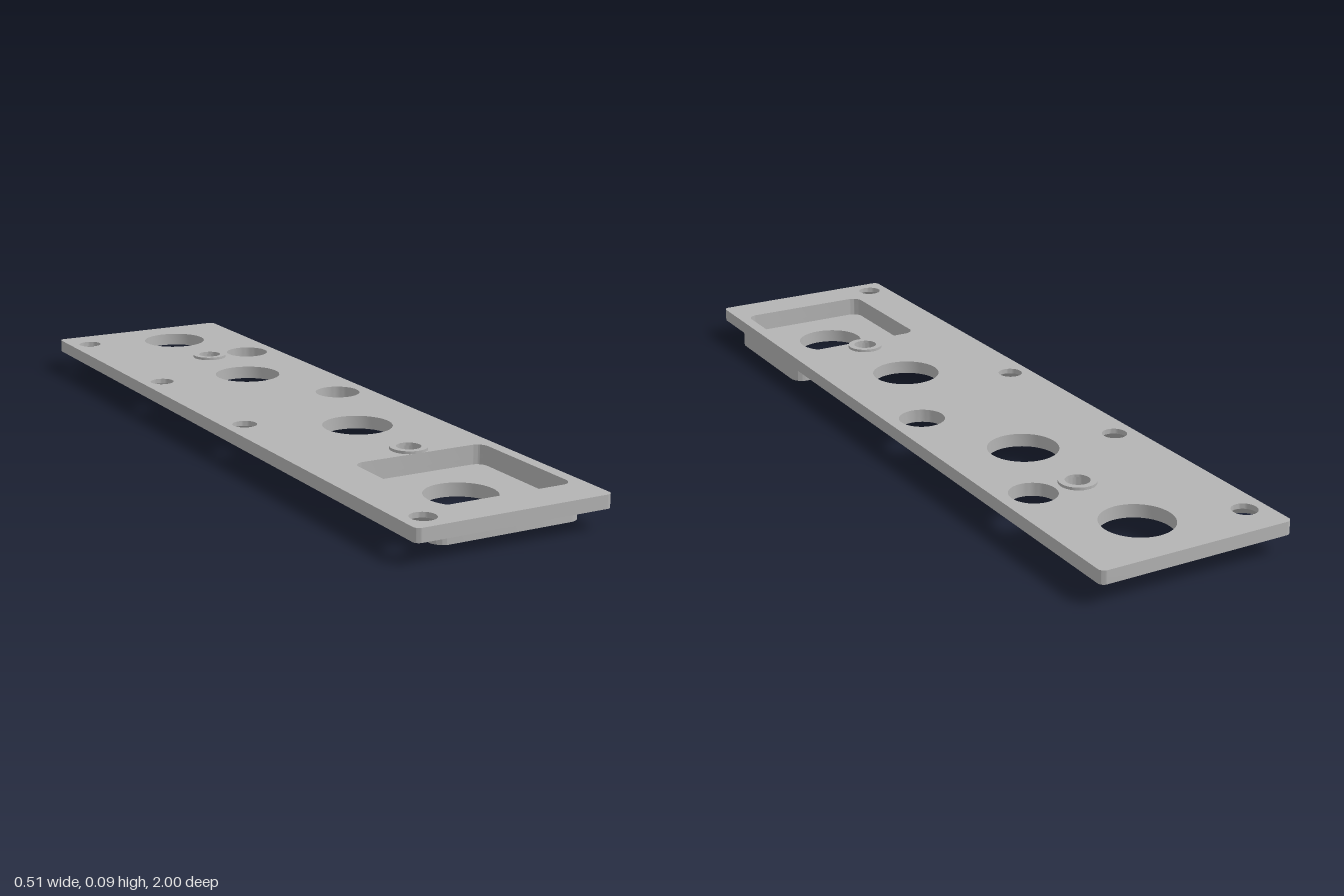
import * as THREE from 'three';
import { toCreasedNormals } from 'three/addons/utils/BufferGeometryUtils.js';

const BLOCK_BOTTOM = 0, FLOOR = 0.034, PLATE_BOTTOM = 0.05, PLATE_TOP = 0.083, BOSS_TOP = 0.09;
const LINE_X = 0.045;

// Plan outlines are drawn with shape y = -z
function roundedRect(path, x0, x1, z0, z1, r) {
  const y0 = -z1, y1 = -z0;
  path.moveTo(x0 + r, y0);
  path.lineTo(x1 - r, y0);
  path.absarc(x1 - r, y0 + r, r, -Math.PI / 2, 0);
  path.lineTo(x1, y1 - r);
  path.absarc(x1 - r, y1 - r, r, 0, Math.PI / 2);
  path.lineTo(x0 + r, y1);
  path.absarc(x0 + r, y1 - r, r, Math.PI / 2, Math.PI);
  path.lineTo(x0, y0 + r);
  path.absarc(x0 + r, y0 + r, r, Math.PI, Math.PI * 1.5);
  return path;
}

function circle(x, z, r) {
  return new THREE.Path().absarc(x, -z, r, 0, Math.PI * 2, true);
}

function slab(shape, holes, bottom, top) {
  shape.holes.push(...holes);
  const geo = new THREE.ExtrudeGeometry(shape, { depth: top - bottom, bevelEnabled: false, curveSegments: 24 });
  geo.rotateX(-Math.PI / 2);
  geo.translate(0, bottom, 0);
  return toCreasedNormals(geo, 0.5);
}

function turned(profile) {
  const points = profile.map(([r, y]) => new THREE.Vector2(r, y));
  return toCreasedNormals(new THREE.LatheGeometry(points, 48), 0.5);
}

export function createModel() {
  const group = new THREE.Group();
  group.name = 'mountingPlate';
  const metal = new THREE.MeshStandardMaterial({ color: 0xb4b4b4 });
  metal.name = 'grey metal';

  function add(name, geo, x = 0, z = 0) {
    const mesh = new THREE.Mesh(geo, metal);
    mesh.name = name;
    mesh.position.set(x, 0, z);
    group.add(mesh);
  }

  const pocket = () => roundedRect(new THREE.Path(), -0.133, 0.223, 0.533, 0.895, 0.028);
  const block = () => roundedRect(new THREE.Shape(), -0.147, 0.24, 0.529, 0.915, 0.035);
  const screwZ = [-0.9, -0.385, 0.11, 0.937], screwX = -0.197;
  const bossZ = [-0.59, 0.49];

  // Long plate with all its through holes
  add('plate', slab(roundedRect(new THREE.Shape(), -0.253, 0.253, -1, 1, 0.015), [
    ...[-0.83, -0.35, 0.25].map(z => circle(LINE_X, z, 0.0875)),
    ...[-0.59, -0.06].map(z => circle(0.165, z, 0.058)),
    ...bossZ.map(z => circle(LINE_X, z, 0.03)),
    ...screwZ.map(z => circle(screwX, z, 0.052)),
    pocket(),
  ], PLATE_BOTTOM, PLATE_TOP));

  // Recessed tray under the plate: walls and pierced floor
  add('trayWall', slab(block(), [pocket()], FLOOR, PLATE_BOTTOM));
  add('trayFloor', slab(block(), [circle(LINE_X, 0.715, 0.0875)], BLOCK_BOTTOM, FLOOR));

  // Screw holes, countersunk from below
  for (const z of screwZ) {
    add('countersunkHole', turned([
      [0.052, PLATE_BOTTOM], [0.052, PLATE_TOP], [0.031, PLATE_TOP], [0.031, 0.07], [0.052, PLATE_BOTTOM],
    ]), screwX, z);
  }

  // Raised rings around the two pin holes
  for (const z of bossZ) {
    add('raisedRing', turned([
      [0.046, PLATE_TOP], [0.046, BOSS_TOP], [0.03, BOSS_TOP], [0.03, PLATE_TOP],
    ]), LINE_X, z);
  }

  return group;
}
